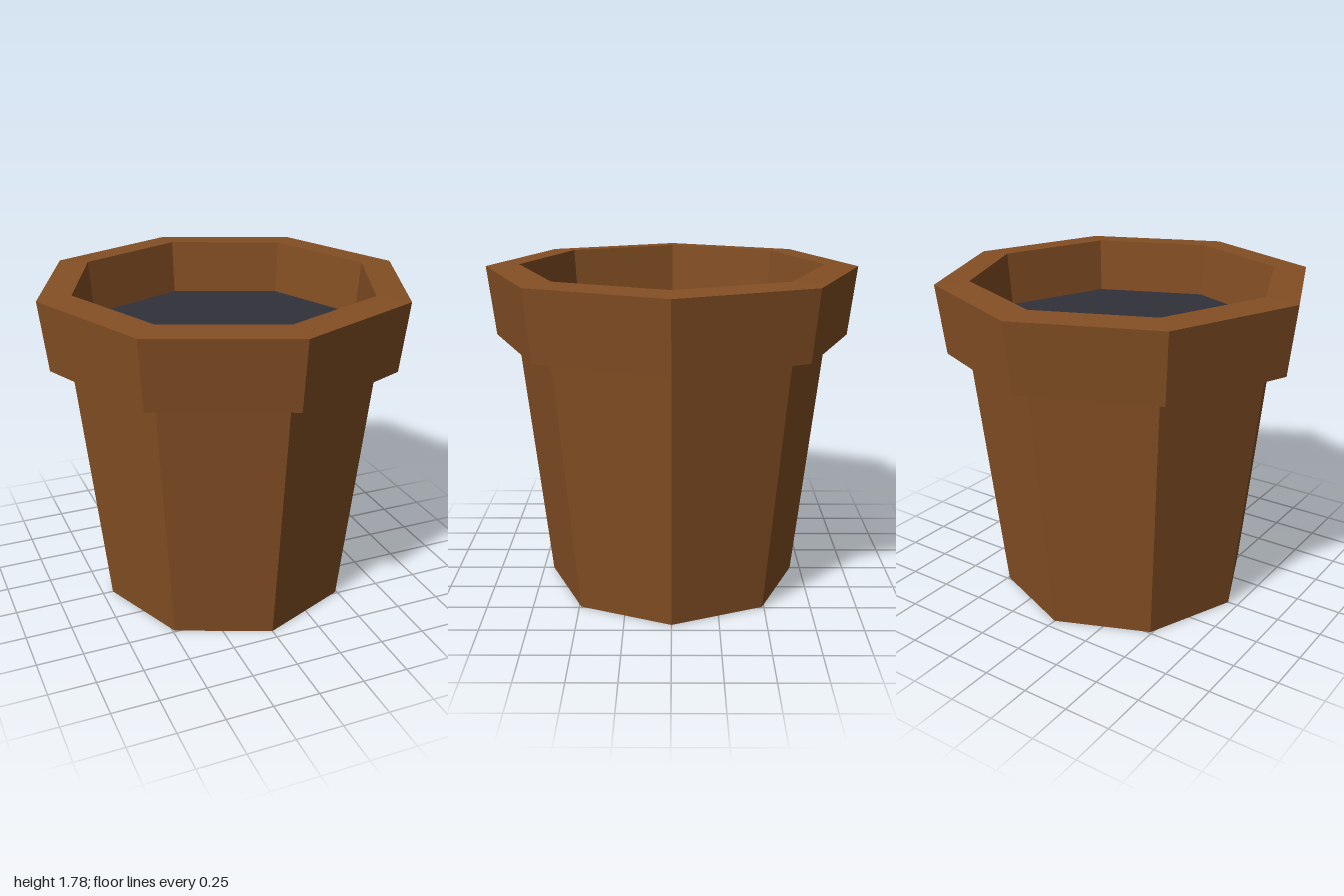
import * as THREE from 'three';

const SIDES = 8;

export function createModel() {
  const group = new THREE.Group();
  const clay = new THREE.MeshStandardMaterial({ color: 0x844f24, flatShading: true });
  clay.name = 'brown clay';
  const earth = new THREE.MeshStandardMaterial({ color: 0x31313a, flatShading: true });
  earth.name = 'dark soil';

  // Eight-sided ring or vessel from a [radius, height] profile
  const turned = (name, profile) => {
    const points = profile.map(([r, y]) => new THREE.Vector2(r, y));
    const mesh = new THREE.Mesh(new THREE.LatheGeometry(points, SIDES), clay);
    mesh.name = name;
    group.add(mesh);
  };

  // Tapered body with closed base
  turned('body', [[0, 0], [0.693, 0], [0.843, 1.4]]);

  // Overhanging collar: underside, flared outside, top lip, inner wall
  turned('rim', [[0.843, 1.4], [0.957, 1.4], [1, 1.773], [0.82, 1.783], [0.795, 1.49]]);

  // Soil surface sunk below the lip
  const soil = new THREE.Mesh(new THREE.CircleGeometry(0.795, SIDES), earth);
  soil.name = 'soil';
  soil.rotation.x = -Math.PI / 2;
  soil.position.y = 1.49;
  group.add(soil);

  return group;
}
